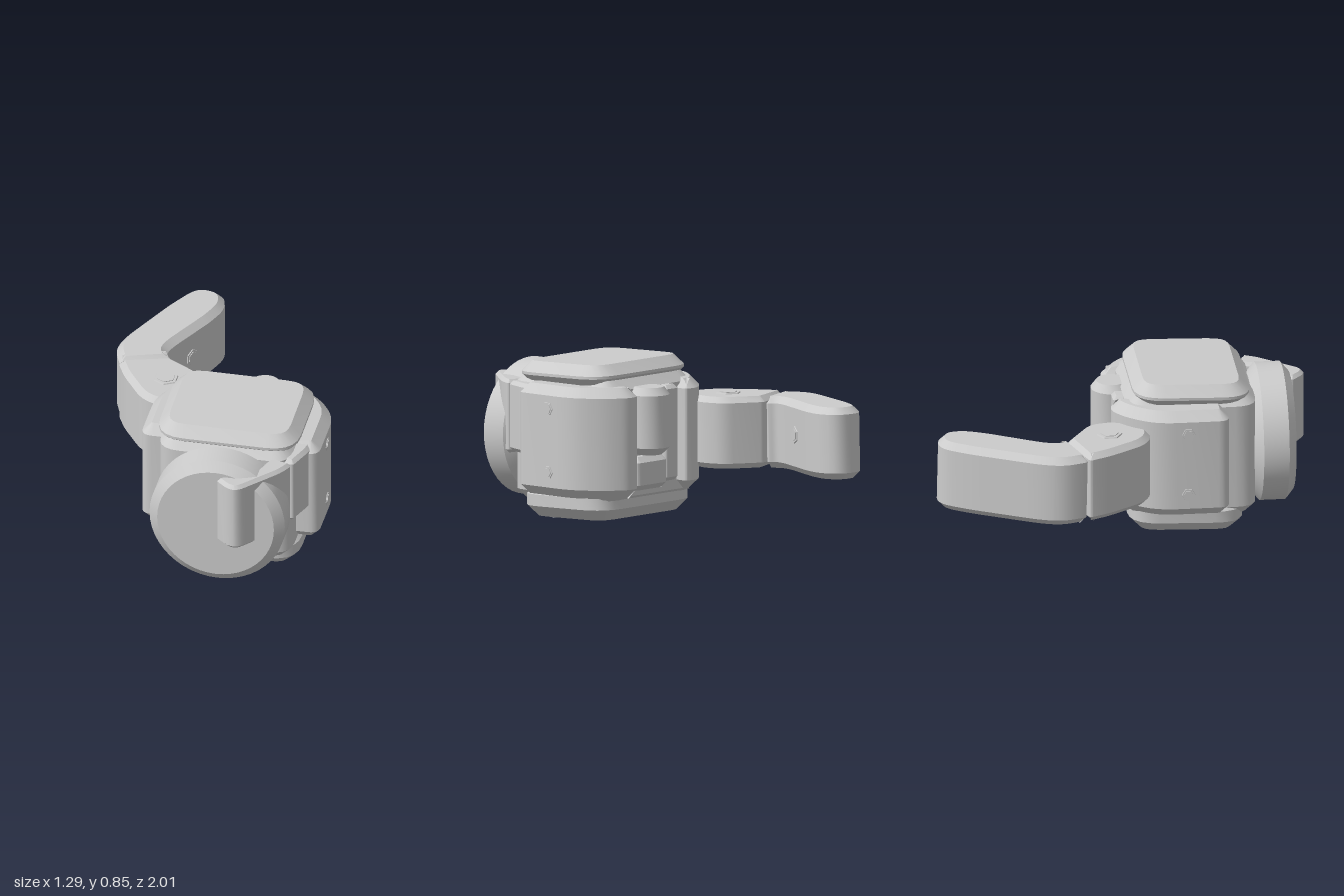
import * as THREE from 'three';
import { toCreasedNormals } from 'three/addons/utils/BufferGeometryUtils.js';

const material = new THREE.MeshStandardMaterial({ color: 0xcccccc });

function addMesh(parent, name, geometry, crease = 0.6) {
  const mesh = new THREE.Mesh(toCreasedNormals(geometry, crease), material);
  mesh.name = name;
  parent.add(mesh);
  return mesh;
}

// Closed plan outline of [x, z, cornerRadius] points with rounded corners
function plan(points) {
  const shape = new THREE.Shape();
  const v = points.map(([x, z]) => new THREE.Vector2(x, -z));
  const n = v.length;
  for (let i = 0; i < n; i++) {
    const p = v[i], a = v[(i + n - 1) % n], b = v[(i + 1) % n];
    const r = points[i][2] ?? 0.02;
    const toward = (q) => p.clone().lerp(q, Math.min(0.48, r / p.distanceTo(q)));
    const s = toward(a), e = toward(b);
    if (i === 0) shape.moveTo(s.x, s.y); else shape.lineTo(s.x, s.y);
    shape.quadraticCurveTo(p.x, p.y, e.x, e.y);
  }
  shape.closePath();
  return shape;
}

// Upright prism between y0 and y1 with chamfered top and bottom rims
function prism(points, y0, y1, bevel) {
  const geometry = new THREE.ExtrudeGeometry(plan(points), {
    depth: y1 - y0 - 2 * bevel, bevelEnabled: true, bevelThickness: bevel,
    bevelSize: bevel, bevelOffset: -bevel, bevelSegments: 1, curveSegments: 5,
  });
  geometry.rotateX(-Math.PI / 2);
  geometry.translate(0, y0 + bevel, 0);
  return geometry;
}

const rect = (x0, x1, z0, z1, r) => [[x0, z0, r], [x1, z0, r], [x1, z1, r], [x0, z1, r]];

// Tilts a geometry slightly about the x axis through the given pivot
function tilt(geometry, angle, y, z) {
  return geometry.translate(0, -y, -z).rotateX(angle).translate(0, y, z);
}

// Hexagonal bolt: raised collar and head pointing along a direction
function addBolt(parent, name, position, direction, radius) {
  const bolt = new THREE.Group();
  bolt.name = name;
  addMesh(bolt, 'boltCollar', new THREE.CylinderGeometry(radius, radius * 1.1, 0.012, 6), 0.3);
  addMesh(bolt, 'boltHead', new THREE.CylinderGeometry(radius * 0.75, radius * 0.75, 0.02, 6), 0.3);
  bolt.position.set(...position);
  bolt.quaternion.setFromUnitVectors(new THREE.Vector3(0, 1, 0), new THREE.Vector3(...direction).normalize());
  parent.add(bolt);
}

// Round part turned about the y axis from [radius, height] points
const turned = (profile, sides) =>
  new THREE.LatheGeometry(profile.map(([r, y]) => new THREE.Vector2(r, y)), sides);

export function createModel() {
  const model = new THREE.Group();
  model.name = 'hingedClampHead';

  // Housing: core with top and bottom cover plates
  const housing = new THREE.Group();
  housing.name = 'housing';
  model.add(housing);
  addMesh(housing, 'core', prism(rect(-0.2, 0.52, 0.01, 0.7, 0.12), 0.09, 0.76, 0.05));
  addMesh(housing, 'topPlate', tilt(prism(rect(-0.22, 0.54, 0.05, 0.67, 0.16), 0.71, 0.835, 0.055), 0.03, 0.835, 0.3));
  addMesh(housing, 'bottomPlate', tilt(prism(rect(-0.22, 0.54, 0.02, 0.63, 0.16), 0.008, 0.19, 0.06), 0.03, 0.01, 0.33));
  addBolt(housing, 'bottomBolt', [0.4, 0.004, 0.48], [0, -1, 0.03], 0.045);

  // Side panels that wrap round to the back, mirrored about the housing axis
  const panel = [[0.42, 0.54], [0.64, 0.54, 0.06], [0.64, 0.16, 0.1], [0.54, 0.01, 0.08],
    [0.43, -0.07, 0.05], [0.35, -0.06, 0.02], [0.36, 0.12, 0.03]];
  for (const side of [1, -1]) {
    const mapX = (x) => 0.16 + side * (x - 0.16);
    const group = new THREE.Group();
    group.name = side > 0 ? 'leftSidePanel' : 'rightSidePanel';
    addMesh(group, 'panelShell', prism(panel.map(([x, z, r]) => [mapX(x), z, r]), 0.14, 0.73, 0.05));
    for (const y of [0.27, 0.61]) addBolt(group, 'panelBolt', [mapX(0.638), y, 0.32], [side, 0, 0], 0.035);
    model.add(group);
  }

  // Back recess: upright barrel, block under it and a bracket
  const back = new THREE.Group();
  back.name = 'backFittings';
  model.add(back);
  const barrel = turned([[0, 0.36], [0.07, 0.36], [0.11, 0.4], [0.11, 0.68], [0.08, 0.72], [0, 0.72]], 20);
  addMesh(back, 'barrel', barrel.translate(0.23, 0, -0.03));
  addMesh(back, 'barrelNeck', prism(rect(0.13, 0.33, -0.03, 0.1, 0.02), 0.4, 0.7, 0.02));
  addMesh(back, 'lowerBlock', prism(rect(0.1, 0.34, -0.05, 0.1, 0.03), 0.17, 0.35, 0.03));
  addMesh(back, 'bracket', prism(rect(0.01, 0.11, -0.045, 0.1, 0.02), 0.2, 0.71, 0.02));

  // Front disc with chamfered rim
  const disc = turned([[0, 0.69], [0.31, 0.69], [0.365, 0.735], [0.365, 0.87], [0.315, 0.912], [0, 0.912]], 48);
  addMesh(model, 'frontDisc', disc.rotateX(Math.PI / 2).translate(0.165, 0.42, 0));

  // Hooked latch from the left side across the disc
  const latch = new THREE.Group();
  latch.name = 'latch';
  model.add(latch);
  addMesh(latch, 'latchBase', prism([[0.44, 0.42], [0.6, 0.42], [0.59, 0.54, 0.04], [0.535, 0.69], [0.42, 0.65]], 0.34, 0.715, 0.02));
  addMesh(latch, 'latchTip', prism([[0.41, 0.66], [0.53, 0.7], [0.49, 0.78, 0.04], [0.3, 1.0, 0.05], [0.245, 0.99, 0.03],
    [0.17, 0.925, 0.02], [0.36, 0.8, 0.04]], 0.325, 0.715, 0.018));

  // Hinged arm reaching backward
  const arm = new THREE.Group();
  arm.name = 'arm';
  model.add(arm);
  const knuckle = [[-0.345, -0.33], [-0.605, -0.235], [-0.55, -0.12, 0.04], [-0.4, 0.1, 0.1],
    [-0.23, 0.13, 0.1], [-0.11, -0.05, 0.1], [-0.15, -0.21, 0.06]];
  const lever = [[-0.6, -0.245], [-0.345, -0.345], [-0.38, -0.39, 0.03], [-0.36, -0.46, 0.05], [-0.22, -0.73, 0.03],
    [-0.165, -0.87, 0.08], [-0.2, -1.0, 0.1], [-0.36, -1.02, 0.11], [-0.46, -0.85, 0.06],
    [-0.63, -0.49, 0.1], [-0.65, -0.37, 0.06]];
  addMesh(arm, 'knuckle', prism(knuckle, 0.25, 0.632, 0.03));
  addMesh(arm, 'lever', tilt(prism(lever, 0.25, 0.632, 0.035), 0.022, 0.44, -0.4));
  addMesh(arm, 'jointCore', prism([[-0.37, -0.28], [-0.55, -0.2], [-0.58, -0.31], [-0.41, -0.38]], 0.28, 0.6, 0.02));
  addBolt(arm, 'hingeTopBolt', [-0.32, 0.632, -0.1], [0, 1, 0], 0.065);
  addBolt(arm, 'hingeBottomBolt', [-0.32, 0.25, -0.1], [0, -1, 0], 0.065);
  addBolt(arm, 'leverBolt', [-0.288, 0.46, -0.6], [0.89, 0, 0.46], 0.045);

  return model;
}
